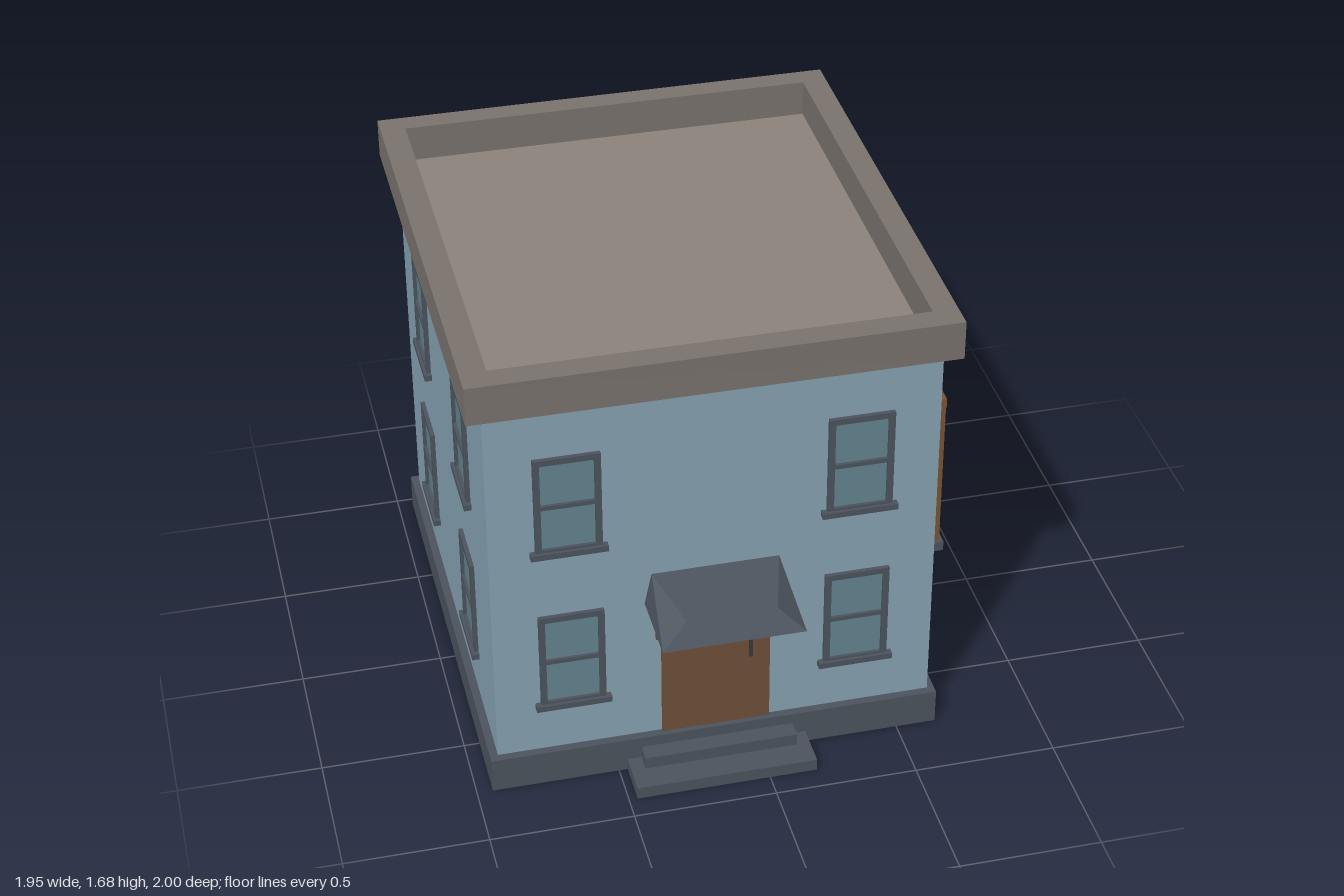
import * as THREE from 'three';
import { ConvexGeometry } from 'three/addons/geometries/ConvexGeometry.js';

const mat = (color) => new THREE.MeshStandardMaterial({ color, flatShading: true });
const M = {
  wall: mat(0x87a3b3), stone: mat(0x4c545e), trim: mat(0x4c545e), glass: mat(0x64858f),
  roof: mat(0x7a736d), deck: mat(0x8b837b), door: mat(0x6f503a),
  shed: mat(0x7a5434), shedDoor: mat(0x936845), metal: mat(0x3c3a3a),
};

function add(parent, name, geometry, material) {
  const mesh = new THREE.Mesh(geometry, material);
  mesh.name = name;
  parent.add(mesh);
  return mesh;
}

// Box given by its extents on each axis
function box(parent, name, material, [x0, x1], [y0, y1], [z0, z1]) {
  const m = add(parent, name, new THREE.BoxGeometry(x1 - x0, y1 - y0, z1 - z0), material);
  m.position.set((x0 + x1) / 2, (y0 + y1) / 2, (z0 + z1) / 2);
  return m;
}

const rect = (T, x0, x1, y0, y1) => new T([[x0, y0], [x1, y0], [x1, y1], [x0, y1]].map((p) => new THREE.Vector2(...p)));

// Horizontal rectangular ring (parapet or rim)
function ring(parent, name, material, [x0, x1], [y0, y1], [z0, z1], [a0, a1], [b0, b1]) {
  const s = rect(THREE.Shape, x0, x1, -z1, -z0);
  s.holes.push(rect(THREE.Path, a0, a1, -b1, -b0));
  const g = new THREE.ExtrudeGeometry(s, { depth: y1 - y0, bevelEnabled: false });
  g.rotateX(-Math.PI / 2).translate(0, y0, 0);
  return add(parent, name, g, material);
}

// Window facing local +z, origin at the middle of its lower edge
function makeWindow(name, w, h, cols, rows) {
  const g = new THREE.Group();
  g.name = name;
  const f = 0.022, bar = 0.016;
  const pw = (w - 2 * f - (cols - 1) * bar) / cols;
  const ph = (h - 2 * f - (rows - 1) * bar) / rows;
  const s = rect(THREE.Shape, -w / 2, w / 2, 0, h);
  for (let i = 0; i < cols; i++) {
    for (let j = 0; j < rows; j++) {
      const x = -w / 2 + f + i * (pw + bar), y = f + j * (ph + bar);
      s.holes.push(rect(THREE.Path, x, x + pw, y, y + ph));
    }
  }
  add(g, 'windowFrame', new THREE.ExtrudeGeometry(s, { depth: 0.015, bevelEnabled: false }), M.trim);
  box(g, 'windowGlass', M.glass, [-w / 2 + 0.01, w / 2 - 0.01], [0.01, h - 0.01], [-0.005, 0.004]);
  box(g, 'windowSill', M.trim, [-w / 2 - 0.018, w / 2 + 0.018], [-0.01, 0.012], [0, 0.026]);
  return g;
}

export function createModel() {
  const house = new THREE.Group();
  house.name = 'house';
  const X = [-0.917, 0.617], Z = [-0.94, 0.727];

  // Main block and plinth
  box(house, 'plinth', M.stone, [-0.945, 0.642], [0, 0.13], [-0.968, 0.757]);
  box(house, 'walls', M.wall, X, [0.13, 1.54], Z);

  // Flat roof behind a parapet
  ring(house, 'parapet', M.roof, [-0.975, 0.67], [1.54, 1.68], [-1, 0.778], [-0.886, 0.583], [-0.918, 0.69]);
  box(house, 'roofDeck', M.deck, [-0.89, 0.587], [1.535, 1.55], [-0.922, 0.694]);

  // Entrance steps
  box(house, 'lowerStep', M.stone, [-0.47, 0.167], [0, 0.045], [0.74, 0.915]);
  box(house, 'upperStep', M.stone, [-0.42, 0.12], [0, 0.09], [0.74, 0.82]);

  // Front door with a pull handle
  box(house, 'frontDoor', M.door, [-0.34, 0.04], [0.13, 0.8], [0.72, 0.738]);
  box(house, 'frontDoorHandle', M.metal, [-0.034, -0.024], [0.41, 0.485], [0.738, 0.75]);

  // Sloped canopy on two diagonal braces
  const canopy = [
    [-0.395, 0.69, 0.727], [0.095, 0.69, 0.727], [-0.395, 0.69, 1], [0.095, 0.69, 1],
    [-0.37, 0.81, 0.727], [0.07, 0.81, 0.727], [-0.305, 0.775, 0.958], [0.005, 0.775, 0.958],
  ].map((p) => new THREE.Vector3(...p));
  add(house, 'canopy', new ConvexGeometry(canopy), M.trim);
  for (const x of [-0.35, 0.05]) {
    const brace = add(house, 'canopyBrace', new THREE.BoxGeometry(0.02, 0.02, 0.25), M.door);
    brace.position.set(x, 0.617, 0.833);
    brace.rotation.x = -Math.atan2(0.145, 0.2);
  }

  // Windows on all four walls
  const place = (win, x, y, z, turn) => {
    win.position.set(x, y, z);
    win.rotation.y = turn;
    house.add(win);
  };
  const sash = (name) => makeWindow(name, 0.226, 0.38, 1, 2);
  for (const y of [0.32, 0.96]) {
    for (const x of [-0.648, 0.344]) place(sash('frontWindow'), x, y, Z[1], 0);
    for (const x of [-0.557, 0.243]) place(sash('backWindow'), x, y, Z[0], Math.PI);
    for (const z of [-0.515, 0.29]) place(sash('rightWindow'), X[0], y, z, -Math.PI / 2);
  }
  for (const z of [-0.3, -0.652]) place(sash('leftWindow'), X[1], 0.96, z, Math.PI / 2);
  place(makeWindow('stairWindow', 0.26, 1.13, 2, 4), X[1], 0.25, 0.42, Math.PI / 2);

  // Side annex with a rimmed roof
  const annex = new THREE.Group();
  annex.name = 'annex';
  house.add(annex);
  box(annex, 'annexBase', M.stone, [0.6, 0.97], [0, 0.04], [-0.76, -0.195]);
  box(annex, 'annexWalls', M.shed, [0.61, 0.955], [0.04, 0.655], [-0.752, -0.205]);
  ring(annex, 'annexRim', M.shed, [0.61, 0.957], [0.65, 0.69], [-0.754, -0.203], [0.63, 0.915], [-0.722, -0.238]);
  box(annex, 'annexRoof', M.shedDoor, [0.62, 0.92], [0.65, 0.66], [-0.73, -0.23]);
  box(annex, 'roofHatch', M.shed, [0.715, 0.842], [0.66, 0.672], [-0.59, -0.437]);
  box(annex, 'hatchHandle', M.metal, [0.762, 0.796], [0.672, 0.68], [-0.519, -0.508]);

  // Annex cladding strips on both sides
  for (const y of [0.19, 0.345, 0.5]) {
    for (const z of [-0.754, -0.203]) {
      box(annex, 'claddingStrip', M.door, [0.64, 0.925], [y - 0.006, y + 0.006], [z - 0.004, z + 0.004]);
    }
  }

  // Annex door: frame, leaf and handle
  box(annex, 'annexDoorFrame', M.shed, [0.95, 0.962], [0.055, 0.588], [-0.652, -0.3]);
  box(annex, 'annexDoorLeaf', M.shedDoor, [0.95, 0.965], [0.07, 0.572], [-0.632, -0.32]);
  box(annex, 'annexDoorHandle', M.metal, [0.963, 0.974], [0.315, 0.327], [-0.362, -0.338]);

  return house;
}
